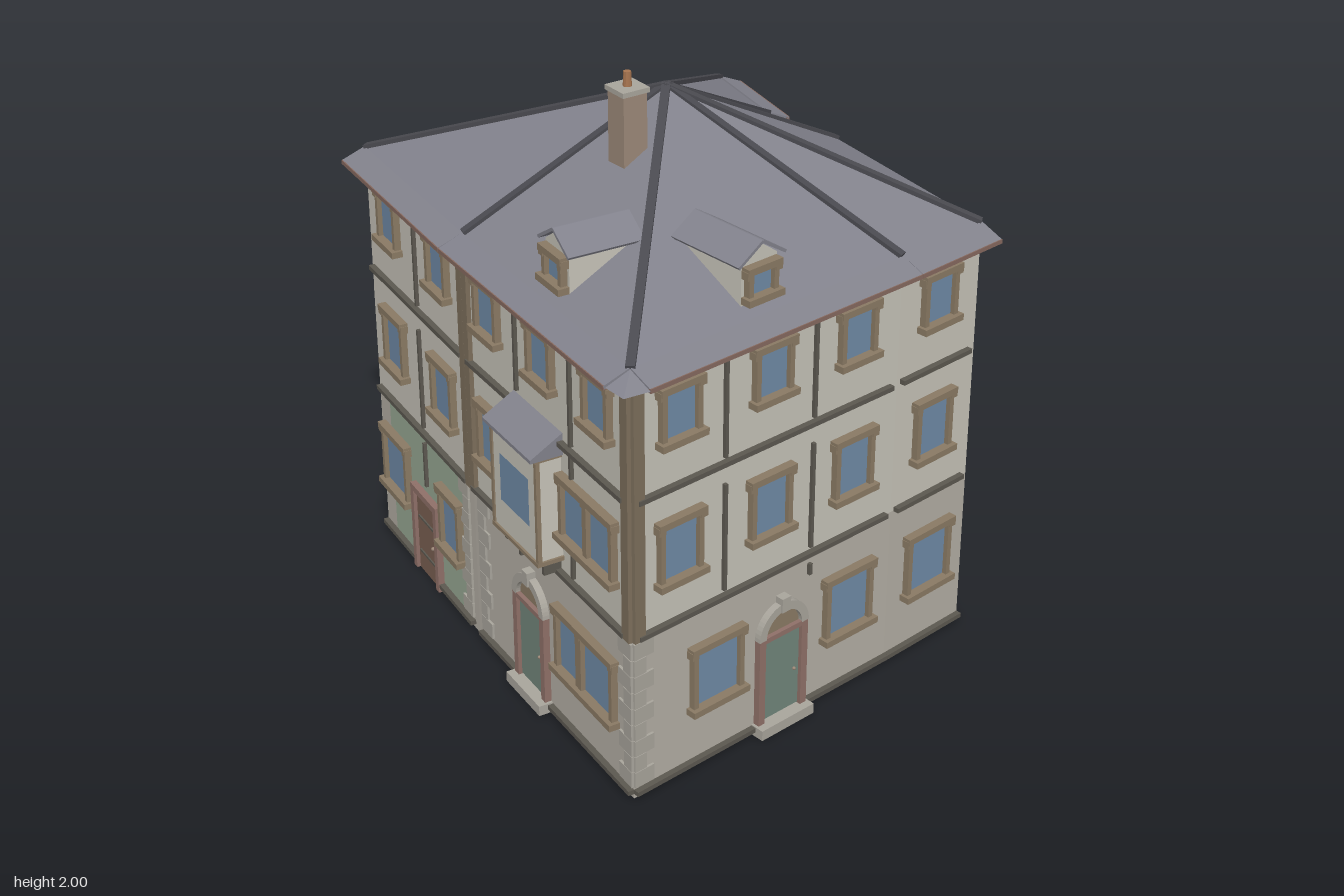
import * as THREE from 'three';

const mat = (color, extra = {}) => new THREE.MeshStandardMaterial({ color, flatShading: true, ...extra });
const both = { side: THREE.DoubleSide };
const M = {
  plaster: mat(0xc6c3b8, both), stone: mat(0xb3aea4, both), green: mat(0x97a893, both), party: mat(0xa8a59c, both),
  quoin: mat(0xa9a59c), trim: mat(0x5c5850), frame: mat(0x8a7a64), post: mat(0x7d6f5c), glass: mat(0x6f8aa6),
  roof: mat(0x82828c, both), hip: mat(0x4a4a50), gutter: mat(0x86695f), wood: mat(0x7a6052), red: mat(0x8f7068),
  door: mat(0x71857a), brick: mat(0x9c8878), pot: mat(0xa87550),
};

// Footprint corners (x, z), counterclockwise seen from above
const H = [-0.94, 0.585], G = [-0.165, 0.67], F = [0.86, 0.745], E = [0.74, -0.33];
const D = [0.69, -0.69], C = [-0.1, -0.745], B = [-0.41, -0.69], A = [-0.78, -0.755];
const EAVE = 1.475, FLOOR = 0.575, APEX = [-0.03, 1.86, 0];

function add(parent, name, geo, material, x = 0, y = 0, z = 0) {
  const m = new THREE.Mesh(geo, material);
  m.name = name;
  m.position.set(x, y, z);
  parent.add(m);
  return m;
}
const box = (parent, name, material, w, h, d, x, y, z) =>
  add(parent, name, new THREE.BoxGeometry(w, h, d), material, x, y, z);

// Flat panel spanning x0..x1, y0..y1 at depth z
const panel = (parent, name, material, x0, x1, y0, y1, z = 0) =>
  add(parent, name, new THREE.PlaneGeometry(x1 - x0, y1 - y0), material, (x0 + x1) / 2, (y0 + y1) / 2, z);

// Wall frame: local x runs p to q, local z points outward; at() turns a world coordinate into local x
function wallFrame(root, name, p, q, axis = 0) {
  const g = new THREE.Group(), dx = q[0] - p[0], dz = q[1] - p[1], len = Math.hypot(dx, dz);
  g.name = name;
  g.position.set(p[0], 0, p[1]);
  g.rotation.y = -Math.atan2(dz, dx);
  g.userData.len = len;
  root.add(g);
  return { g, len, at: v => (v - p[axis]) / (q[axis] - p[axis]) * len };
}

// Horizontal band between two local positions
const band = (g, y, a, b, h = 0.016, d = 0.024) => box(g, 'band', M.trim, b - a, h, d, (a + b) / 2, y, d / 2 - 0.004);
const stud = (g, x, y0, y1) => box(g, 'stud', M.trim, 0.012, y1 - y0, 0.016, x, (y0 + y1) / 2, 0.004);

function windowUnit(parent, x, y, w, h) {
  const g = new THREE.Group();
  g.name = 'window';
  g.position.set(x, y, 0);
  parent.add(g);
  box(g, 'pane', M.glass, w, h, 0.01, 0, 0, 0.002);
  for (const s of [-1, 1]) {
    box(g, 'jamb', M.frame, 0.018, h, 0.026, s * (w / 2 + 0.007), 0, 0.01);
    box(g, 'frameEnd', M.frame, 0.026, 0.026, 0.03, s * (w / 2 + 0.014), h / 2 - 0.002, 0.012);
  }
  box(g, 'lintel', M.frame, w + 0.05, 0.022, 0.034, 0, h / 2 + 0.01, 0.013);
  box(g, 'sill', M.frame, w + 0.055, 0.022, 0.042, 0, -h / 2 - 0.01, 0.017);
}
const upper = (g, x) => windowUnit(g, x, 1.285, 0.12, 0.155);
const middle = (g, x) => windowUnit(g, x, 0.83, 0.135, 0.185);
const lower = (g, x, w = 0.175) => windowUnit(g, x, 0.33, w, 0.2);

function archedDoor(parent, x) {
  const g = new THREE.Group();
  g.name = 'archedDoor';
  g.position.x = x;
  parent.add(g);
  box(g, 'doorLeaf', M.door, 0.155, 0.3, 0.012, 0, 0.19, 0.004);
  add(g, 'doorKnob', new THREE.SphereGeometry(0.006, 8, 6), M.brick, 0.055, 0.18, 0.014);
  for (const s of [-1, 1]) box(g, 'jamb', M.red, 0.026, 0.33, 0.026, s * 0.09, 0.19, 0.01);
  box(g, 'transom', M.red, 0.16, 0.018, 0.026, 0, 0.345, 0.01);
  box(g, 'step', M.quoin, 0.225, 0.036, 0.05, 0, 0.018, 0.025);
  const fan = new THREE.Shape().absarc(0, 0, 0.078, 0, Math.PI);
  add(g, 'fanlight', new THREE.ExtrudeGeometry(fan, { depth: 0.008, bevelEnabled: false }), M.frame, 0, 0.352, 0);
  const ring = new THREE.Shape().absarc(0, 0, 0.105, 0, Math.PI);
  ring.absarc(0, 0, 0.076, Math.PI, 0, true);
  add(g, 'arch', new THREE.ExtrudeGeometry(ring, { depth: 0.024, bevelEnabled: false }), M.quoin, 0, 0.35, 0);
  box(g, 'keystone', M.quoin, 0.036, 0.05, 0.034, 0, 0.452, 0.014);
}

function plainDoor(g, x) {
  box(g, 'plainDoor', M.wood, 0.165, 0.31, 0.012, x, 0.155, 0.004);
  for (const s of [-1, 1]) box(g, 'doorJamb', M.red, 0.024, 0.335, 0.026, x + s * 0.093, 0.168, 0.01);
  box(g, 'doorHead', M.red, 0.21, 0.024, 0.026, x, 0.323, 0.01);
  for (const y of [0.08, 0.22]) box(g, 'doorBatten', M.trim, 0.13, 0.008, 0.006, x, y, 0.012);
  add(g, 'doorKnob', new THREE.SphereGeometry(0.007, 8, 6), M.brick, x + 0.05, 0.145, 0.014);
}

// Alternating corner stones, growing from x in direction s
function quoins(g, x, s) {
  for (let i = 0; i < 9; i++) {
    const w = i % 2 ? 0.045 : 0.075;
    box(g, 'quoin', M.quoin, w, 0.056, 0.012, x + s * w / 2, 0.07 + i * 0.058, 0.002);
  }
}

// Flared eave strip with cornice below it
function eave(w) {
  const s = box(w.g, 'eave', M.roof, w.len, 0.012, 0.09, w.len / 2, 1.457, 0.042);
  s.rotation.x = 0.38;
  box(w.g, 'gutter', M.gutter, w.len, 0.014, 0.014, w.len / 2, 1.44, 0.08);
  box(w.g, 'cornice', M.gutter, w.len, 0.022, 0.022, w.len / 2, 1.445, 0.008);
}

function oriel(parent, x) {
  const g = new THREE.Group();
  g.name = 'oriel';
  g.position.x = x;
  parent.add(g);
  box(g, 'orielBody', M.plaster, 0.285, 0.37, 0.085, 0, 0.815, 0.0425);
  panel(g, 'orielPane', M.glass, -0.093, 0.093, 0.745, 0.91, 0.087);
  for (const s of [-1, 1]) {
    box(g, 'orielPost', M.frame, 0.014, 0.37, 0.014, s * 0.143, 0.815, 0.083);
    box(g, 'orielBracket', M.trim, 0.014, 0.055, 0.06, s * 0.122, 0.607, 0.03);
  }
  for (const y of [0.635, 0.998]) box(g, 'orielRail', M.frame, 0.3, 0.014, 0.092, 0, y, 0.046);
  const prof = new THREE.Shape([[0, 1], [0.11, 1], [0.11, 1.012], [0, 1.075]].map(p => new THREE.Vector2(...p)));
  const roof = new THREE.ExtrudeGeometry(prof, { depth: 0.31, bevelEnabled: false });
  roof.rotateY(-Math.PI / 2).translate(0.155, 0, 0);
  add(g, 'orielRoof', roof, M.roof);
}

// Gabled dormer; local origin at the foot of its front face
function dormer(root, x, z, angle, width, length) {
  const g = new THREE.Group(), h = width / 2;
  g.name = 'dormer';
  g.position.set(x, 0, z);
  g.rotation.y = angle;
  root.add(g);
  const gable = new THREE.Shape([[-h, 1.46], [h, 1.46], [h, 1.63], [0, 1.68], [-h, 1.63]].map(p => new THREE.Vector2(...p)));
  add(g, 'dormerBody', new THREE.ExtrudeGeometry(gable, { depth: length - 0.03, bevelEnabled: false }), M.plaster, 0, 0, 0.03 - length);
  for (const s of [-1, 1]) {
    const slab = box(g, 'dormerRoof', M.roof, 0.11, 0.01, length, s * 0.046, 1.658, 0.015 - length / 2);
    slab.rotation.z = -s * 0.57;
  }
  windowUnit(g, 0, 1.563, 0.085, 0.075);
}

function triangles(points) {
  const geo = new THREE.BufferGeometry();
  geo.setAttribute('position', new THREE.Float32BufferAttribute(points.flat(), 3));
  geo.computeVertexNormals();
  return geo;
}

export function createModel() {
  const root = new THREE.Group();
  root.name = 'cornerHouse';
  const left = wallFrame(root, 'frontLeftWall', H, G), right = wallFrame(root, 'frontRightWall', G, F);
  const side = wallFrame(root, 'sideWall', F, E, 1), sideBack = wallFrame(root, 'sideBackWall', E, D, 1);
  const rear = wallFrame(root, 'rearWall', D, C), rearShort = wallFrame(root, 'rearShortWall', B, A);
  const blank = wallFrame(root, 'partyWall', A, H, 1);

  // Wall surfaces; the rear bay between C and B stays open
  for (const w of [left, right, side, sideBack, rearShort]) {
    panel(w.g, 'upperWall', M.plaster, 0, w.len, FLOOR, EAVE);
    if (w !== left) panel(w.g, 'groundWall', M.stone, 0, w.len, 0, FLOOR);
    eave(w);
  }
  panel(left.g, 'groundWall', M.stone, 0, 0.08, 0, FLOOR);
  panel(left.g, 'greenWall', M.green, 0.08, left.at(-0.22), 0, FLOOR);
  panel(left.g, 'groundWall', M.stone, left.at(-0.22), left.len, 0, FLOOR);
  panel(rear.g, 'rearSurface', M.plaster, 0, rear.len, 0, EAVE);
  panel(blank.g, 'partySurface', M.plaster, 0, blank.len, 0, EAVE);
  panel(blank.g, 'partyPatch', M.party, 0.06, blank.len, 0, 0.97, 0.002);

  // Floor bands, and plinth bands broken at the doors
  for (const w of [left, right, side, sideBack, rearShort])
    for (const y of [0.58, 1.043]) band(w.g, y, 0.015, w.len - 0.03);
  const plinth = (w, ...ends) => {
    for (let i = 0; i < ends.length; i += 2) band(w.g, 0.025, ends[i], ends[i + 1]);
  };
  plinth(left, 0, left.at(-0.66), left.at(-0.45), left.len - 0.03);
  plinth(right, 0.03, right.at(0.12), right.at(0.35), right.len);
  plinth(side, 0, side.at(0.26), side.at(0.04), side.len);
  plinth(sideBack, 0, sideBack.len);
  plinth(rearShort, 0, rearShort.len);

  // Front left: windows, door, studs
  for (const x of [-0.75, -0.355]) { upper(left.g, left.at(x)); middle(left.g, left.at(x)); }
  lower(left.g, left.at(-0.8));
  lower(left.g, left.at(-0.345), 0.13);
  plainDoor(left.g, left.at(-0.555));
  stud(left.g, left.at(-0.55), 0.37, 0.54);
  for (const y of [0.6, 1.06]) stud(left.g, left.at(-0.55), y, y + 0.37);
  quoins(left.g, left.at(-0.2), -1);

  // Front right: windows, arched door, oriel
  for (const x of [0, 0.345, 0.685]) upper(right.g, right.at(x));
  for (const x of [0, 0.54, 0.695]) middle(right.g, right.at(x));
  for (const x of [0.485, 0.665]) lower(right.g, right.at(x), x < 0.5 ? 0.125 : 0.175);
  archedDoor(right.g, right.at(0.235));
  oriel(right.g, right.at(0.3));
  stud(right.g, right.at(0.175), 1.09, 1.43);
  stud(right.g, right.at(0.175), 0.5, 0.54);
  stud(right.g, right.at(0.515), 1.06, 1.43);
  stud(right.g, right.at(0.515), 0.6, 0.72);
  stud(right.g, right.at(0.515), 0.95, 1.03);
  quoins(right.g, right.at(-0.13), 1);
  quoins(right.g, right.len, -1);

  // Side walls
  for (const z of [0.57, 0.21, -0.14]) { upper(side.g, side.at(z)); middle(side.g, side.at(z)); }
  lower(side.g, side.at(0.42));
  lower(side.g, side.at(-0.14));
  archedDoor(side.g, side.at(0.15));
  for (const z of [0.39, 0.03]) for (const y of [0.6, 1.06]) stud(side.g, side.at(z), y, y + 0.37);
  stud(side.g, side.at(0.03), 0.5, 0.54);
  quoins(side.g, 0, -1 * -1);
  upper(sideBack.g, sideBack.at(-0.5));
  middle(sideBack.g, sideBack.at(-0.5));
  lower(sideBack.g, sideBack.at(-0.51));

  // Brown corner posts above the ground floor
  for (const [w, x] of [[left, left.len - 0.015], [right, 0.015], [right, right.len - 0.018], [side, 0.018]])
    box(w.g, 'cornerPost', M.post, 0.04, 0.88, 0.022, x, 1.01, 0.004);

  // Faceted roof with a dark strip along every hip
  const corners = [H, G, F, E, D, C, B, A], apex = new THREE.Vector3(...APEX), tris = [];
  corners.forEach((c, i) => {
    const n = corners[(i + 1) % 8], end = new THREE.Vector3(c[0], EAVE + 0.005, c[1]);
    tris.push([c[0], EAVE, c[1]], [n[0], EAVE, n[1]], APEX);
    const strip = box(root, 'hipStrip', M.hip, 0.028, 0.014, apex.distanceTo(end), 0, 0, 0);
    strip.position.lerpVectors(apex, end, 0.5);
    strip.lookAt(end);
  });
  add(root, 'roof', triangles(tris), M.roof);
  const k = [[0.86, EAVE, 0.745], [0.855, 1.44, 0.825], [0.93, 1.435, 0.815], [0.945, 1.44, 0.735]];
  add(root, 'eaveCorner', triangles([k[0], k[1], k[2], k[0], k[2], k[3]]), M.roof);

  // Dormers and chimney
  dormer(root, 0.355, 0.655, right.g.rotation.y, 0.14, 0.255);
  dormer(root, 0.755, 0.225, side.g.rotation.y, 0.14, 0.29);
  box(root, 'chimney', M.brick, 0.085, 0.25, 0.085, 0.11, 1.82, 0.24);
  box(root, 'chimneyCap', M.quoin, 0.098, 0.016, 0.098, 0.11, 1.945, 0.24);
  add(root, 'chimneyPot', new THREE.CylinderGeometry(0.012, 0.014, 0.048, 10), M.pot, 0.11, 1.976, 0.24);
  return root;
}
